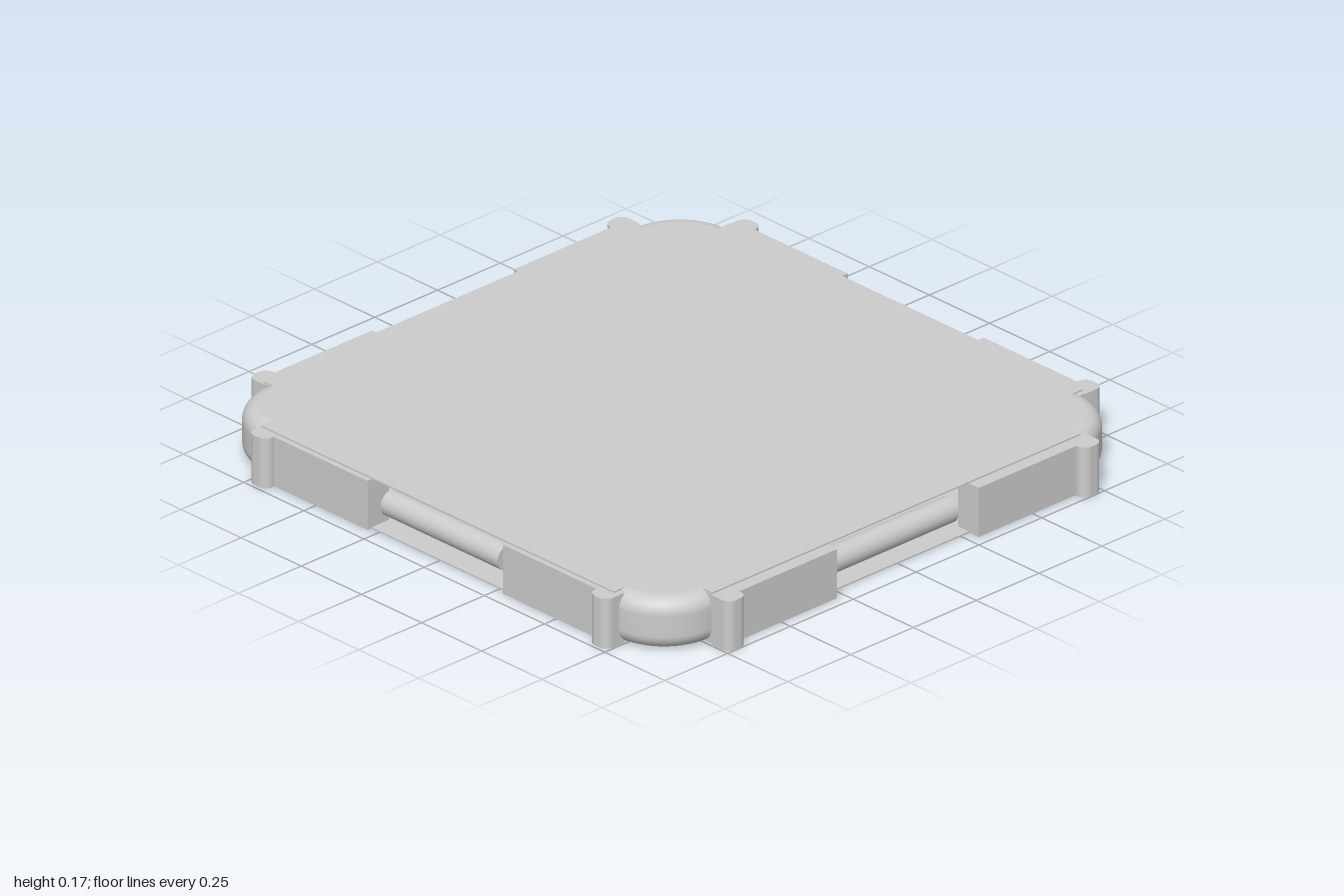
import * as THREE from 'three';

const HALF = 0.933;    // half width of the tile
const RADIUS = 0.2;    // corner radius in plan
const FILLET = 0.05;   // rounding of the corner edges
const TOP = 0.165;
const CORE = HALF - RADIUS;

// Sheet outline: straight sides, stepped in at the corners to meet the rounded corner walls
function sheetShape() {
  const s = new THREE.Shape();
  for (let k = 0; k < 4; k++) {
    const a = (k * Math.PI) / 2, c = Math.cos(a), n = Math.sin(a);
    const put = (x, y, first) => s[first ? 'moveTo' : 'lineTo'](x * c - y * n, x * n + y * c);
    put(HALF, -CORE, k === 0);
    put(HALF, CORE);
    for (let i = 0; i <= 12; i++) {
      const t = (i / 12) * Math.PI / 2, r = RADIUS - FILLET;
      put(CORE + r * Math.cos(t), CORE + r * Math.sin(t));
    }
    put(CORE, HALF);
  }
  return s;
}

// Wall profile of a corner, rounded at bottom and top
function cornerProfile() {
  const pts = [];
  const r = RADIUS - FILLET;
  for (let i = 0; i <= 8; i++) {
    const t = -Math.PI / 2 + (i / 8) * Math.PI / 2;
    pts.push(new THREE.Vector2(r + FILLET * Math.cos(t), FILLET + FILLET * Math.sin(t)));
  }
  for (let i = 0; i <= 8; i++) {
    const t = (i / 8) * Math.PI / 2;
    pts.push(new THREE.Vector2(r + FILLET * Math.cos(t), TOP - FILLET + FILLET * Math.sin(t)));
  }
  return pts;
}

// Clip plan: a tab with two rounded outer corners
function clipGeometry() {
  const w = 0.037, l = 0.07, r = 0.028;
  const s = new THREE.Shape();
  s.moveTo(w, 0);
  s.lineTo(w, l - r);
  s.absarc(w - r, l - r, r, 0, Math.PI / 2);
  s.absarc(-w + r, l - r, r, Math.PI / 2, Math.PI);
  s.lineTo(-w, 0);
  s.closePath();
  // Plan y becomes +z, extrusion runs downward
  return new THREE.ExtrudeGeometry(s, { depth: 0.16, bevelEnabled: false, curveSegments: 8 })
    .rotateX(Math.PI / 2).translate(0, 0.16, 0);
}

export function createModel() {
  const model = new THREE.Group();
  const grey = new THREE.MeshStandardMaterial({ color: 0xcccccc });
  const thin = new THREE.MeshStandardMaterial({ color: 0xcccccc, side: THREE.DoubleSide });
  const add = (parent, name, geo, x, y, z, mat = grey) => {
    const m = new THREE.Mesh(geo, mat);
    m.name = name;
    m.position.set(x, y, z);
    parent.add(m);
    return m;
  };

  // Hollow body: two thin sheets joined by rounded corner walls
  const body = new THREE.Group();
  body.name = 'body';
  body.position.set(-0.006, 0, -0.008);
  model.add(body);
  const sheet = new THREE.ExtrudeGeometry(sheetShape(), { depth: 0.005, bevelEnabled: false }).rotateX(-Math.PI / 2);
  add(body, 'topSheet', sheet, 0, TOP - 0.005, 0);
  add(body, 'bottomSheet', sheet, 0, 0, 0);
  const corner = new THREE.LatheGeometry(cornerProfile(), 16, 0, Math.PI / 2);
  for (let k = 0; k < 4; k++) {
    const turn = new THREE.Group();
    turn.name = 'corner';
    turn.rotation.y = (k * Math.PI) / 2;
    body.add(turn);
    add(turn, 'cornerWall', corner, CORE, 0, CORE, thin);
  }

  // Each side: two wall blocks with end clips, and a rod in the open slot between them
  const block = new THREE.BoxGeometry(0.46, 0.158, 0.086);
  const clip = clipGeometry();
  const rod = new THREE.CylinderGeometry(0.04, 0.04, 0.486, 32).rotateZ(Math.PI / 2);
  for (let k = 0; k < 4; k++) {
    const shift = k % 2 ? -0.01 : 0;
    const side = new THREE.Group();
    side.name = 'side';
    side.rotation.y = (k * Math.PI) / 2;
    model.add(side);
    for (const s of [-1, 1]) {
      add(side, 'wallBlock', block, s * 0.512, 0.081, 0.923 + shift);
      add(side, 'clip', clip, s * 0.708, 0, 0.93 + shift);
    }
    const holder = new THREE.Group();
    holder.name = 'rodHolder';
    holder.rotation.y = side.rotation.y;
    body.add(holder);
    add(holder, 'rod', rod, 0, 0.08, 0.897 + shift);
  }
  return model;
}
